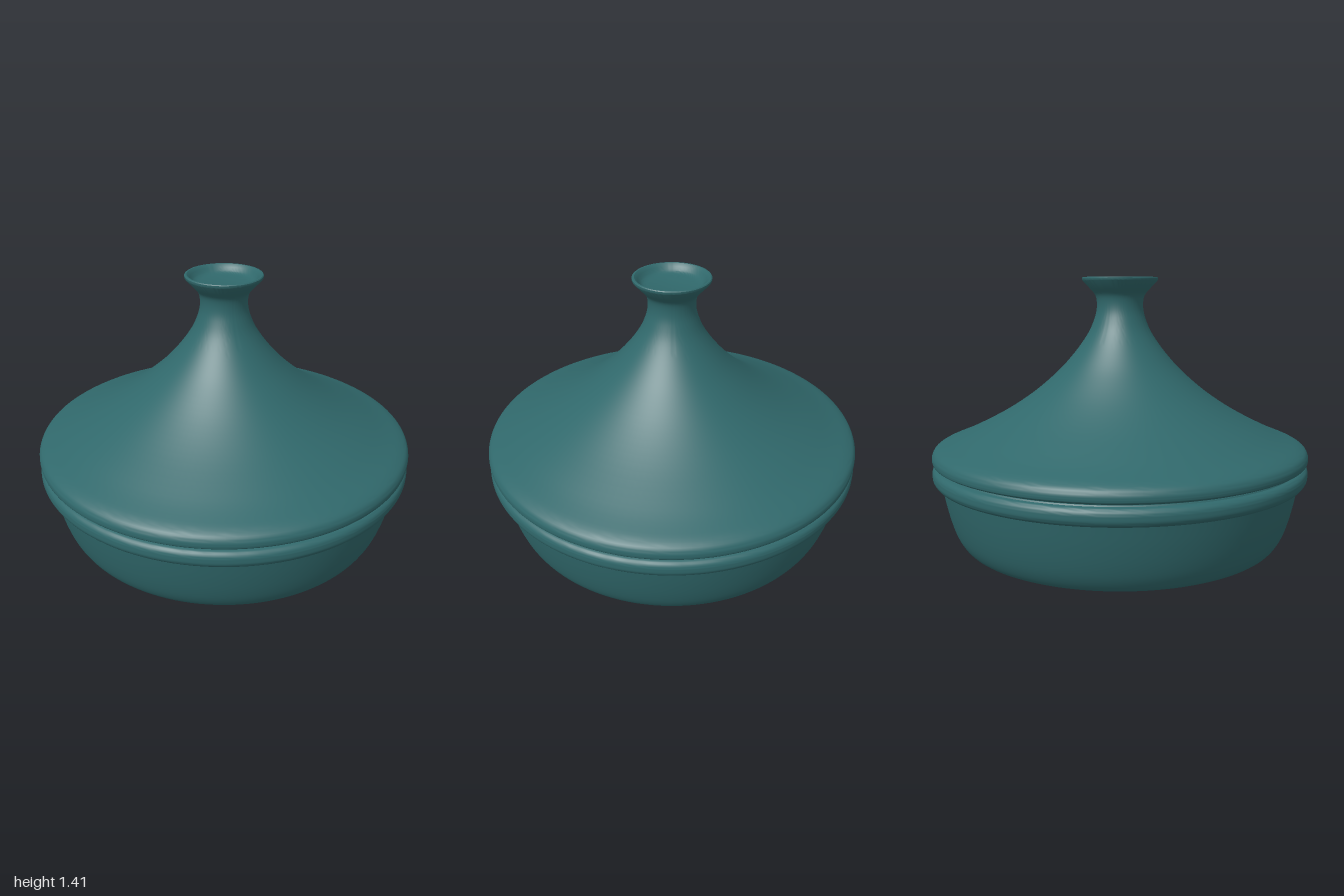
import * as THREE from 'three';
import { toCreasedNormals } from 'three/addons/utils/BufferGeometryUtils.js';

const SEGMENTS = 128;

// Smooth run of profile points through a few [radius, height] pairs
const curve = (pairs, n) =>
  new THREE.SplineCurve(pairs.map(([r, y]) => new THREE.Vector2(r, y))).getPoints(n);

const line = (...pairs) => pairs.map(([r, y]) => new THREE.Vector2(r, y));

function turned(name, profile, material) {
  const geometry = toCreasedNormals(new THREE.LatheGeometry(profile, SEGMENTS), 0.65);
  const mesh = new THREE.Mesh(geometry, material);
  mesh.name = name;
  return mesh;
}

export function createModel() {
  const glaze = new THREE.MeshStandardMaterial({ color: 0x30686b });
  glaze.name = 'teal glaze';

  const model = new THREE.Group();
  model.name = 'conicalLidPot';

  // Shallow bowl: flat base, bulging wall, rolled rim, hollow inside
  const bowl = turned('bowl', [
    ...line([0, 0], [0.78, 0]),
    ...curve([[0.8, 0.002], [0.845, 0.022], [0.882, 0.075], [0.91, 0.15], [0.935, 0.25], [0.955, 0.355]], 24),
    ...curve([[0.965, 0.355], [0.985, 0.361], [0.998, 0.38], [1, 0.4], [0.998, 0.42], [0.985, 0.438], [0.965, 0.444]], 18),
    ...line([0.962, 0.45], [0.88, 0.45], [0.84, 0.15], [0.74, 0.06], [0, 0.06]),
  ], glaze);

  // Lid: rounded edge, concave cone, narrow neck and flared, dished knob
  const lid = turned('lid', [
    ...line([0, 1.15], [0.08, 1.1], [0.28, 0.85], [0.85, 0.5], [0.88, 0.448], [0.958, 0.448], [0.96, 0.457]),
    ...curve([[0.98, 0.458], [0.996, 0.466], [1, 0.48], [0.998, 0.5], [0.985, 0.522], [0.96, 0.538]], 16),
    ...curve([[0.94, 0.547], [0.82, 0.597], [0.63, 0.695], [0.47, 0.8], [0.335, 0.915], [0.24, 1.02],
      [0.17, 1.12], [0.135, 1.2], [0.123, 1.26], [0.129, 1.315], [0.155, 1.35]], 48),
    ...line([0.198, 1.396], [0.2, 1.4], [0.2, 1.41], [0.196, 1.414], [0.188, 1.414]),
    ...curve([[0.178, 1.406], [0.16, 1.385], [0.145, 1.375], [0.125, 1.37]], 8),
    ...line([0, 1.37]),
  ], glaze);

  model.add(bowl, lid);
  return model;
}
